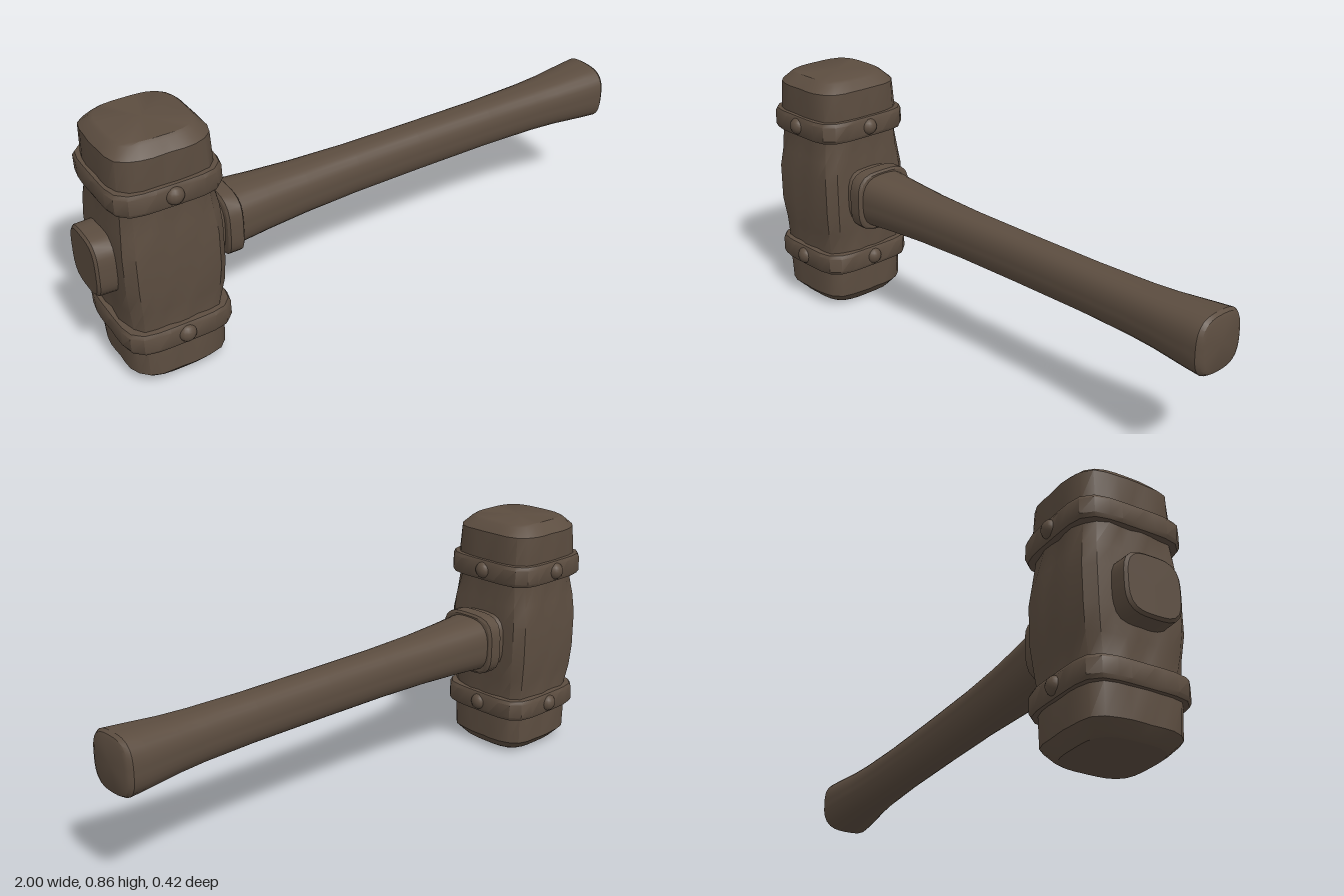
import * as THREE from 'three';
import { toCreasedNormals } from 'three/addons/utils/BufferGeometryUtils.js';

// Closed loft along y: each section is [y, halfX, halfZ, squareness, dent]
function loft(sections, sides = 32, crease = 0.55) {
  const pos = [], index = [];
  sections.forEach(([y, a, b, n, dent = 0], row) => {
    for (let i = 0; i < sides; i++) {
      const t = ((i + 0.5) / sides) * Math.PI * 2;
      const c = Math.cos(t), s = Math.sin(t);
      const r = Math.pow(Math.abs(c) ** n + Math.abs(s) ** n, -1 / n);
      const k = 1 - dent * (0.5 + 0.5 * Math.sin(i * 1.9 + row * 2.3));
      pos.push(a * r * c * k, y, b * r * s * k);
    }
  });
  for (let j = 0; j < sections.length - 1; j++) {
    for (let i = 0; i < sides; i++) {
      const p = j * sides + i, q = j * sides + (i + 1) % sides;
      index.push(p, p + sides, q, q, p + sides, q + sides);
    }
  }
  // end caps
  const last = sections.length - 1;
  const bottom = pos.length / 3, top = bottom + 1;
  pos.push(0, sections[0][0], 0, 0, sections[last][0], 0);
  for (let i = 0; i < sides; i++) {
    const k = (i + 1) % sides;
    index.push(bottom, i, k, top, last * sides + k, last * sides + i);
  }
  const g = new THREE.BufferGeometry();
  g.setAttribute('position', new THREE.Float32BufferAttribute(pos, 3));
  g.setIndex(index);
  return toCreasedNormals(g, crease);
}

export function createModel() {
  const model = new THREE.Group();
  const brown = new THREE.MeshStandardMaterial({ color: 0x5c4d40 });
  brown.name = 'dark brown';
  const headX = -0.766, axisY = 0.432;

  function add(name, geometry, x, y, z) {
    const mesh = new THREE.Mesh(geometry, brown);
    mesh.name = name;
    mesh.position.set(x, y, z);
    model.add(mesh);
    return mesh;
  }
  // Loft whose length runs along x at the handle's height
  const addAlongX = (name, sections) =>
    add(name, loft(sections).rotateZ(-Math.PI / 2), 0, axisY, 0);

  // Head: worn block, squarer in the middle, with bevelled striking faces
  add('head', loft([
    [0.0, 0.128, 0.132, 3.6],
    [0.008, 0.14, 0.142, 3.6],
    [0.04, 0.167, 0.174, 4, 0.02],
    [0.14, 0.169, 0.174, 4.5, 0.015],
    [0.215, 0.168, 0.172, 4.5, 0.05],
    [0.29, 0.17, 0.177, 6, 0.03],
    [0.37, 0.171, 0.179, 8],
    [0.5, 0.171, 0.179, 8],
    [0.57, 0.17, 0.177, 6, 0.03],
    [0.65, 0.168, 0.172, 4.5, 0.05],
    [0.725, 0.169, 0.174, 4.5, 0.015],
    [0.825, 0.167, 0.174, 4, 0.02],
    [0.855, 0.14, 0.142, 3.6],
    [0.862, 0.128, 0.132, 3.6],
  ]), headX, 0, 0);

  // Iron bands with domed rivets on three sides
  for (const y of [0.178, 0.688]) {
    add('band', loft([
      [-0.038, 0.166, 0.17, 5],
      [-0.037, 0.179, 0.185, 5],
      [-0.025, 0.186, 0.192, 5, 0.012],
      [0.025, 0.186, 0.192, 5, 0.012],
      [0.037, 0.179, 0.185, 5],
      [0.038, 0.166, 0.17, 5],
    ]), headX, y, 0);
    for (const [x, z] of [[headX, 0.186], [headX, -0.186], [-0.588, 0]]) {
      const rivet = add('rivet', new THREE.SphereGeometry(0.03, 14, 10), x, y, z);
      if (z) rivet.scale.z = 0.83;
      else rivet.scale.x = 0.83;
    }
  }

  // Handle end showing through the far side of the head
  addAlongX('handleButt', [
    [-1.0, 0.094, 0.09, 3.4],
    [-0.992, 0.102, 0.099, 3.4],
    [-0.92, 0.104, 0.101, 3.4],
  ]);

  // Neck and collar where the handle enters the head
  addAlongX('neck', [[-0.64, 0.105, 0.108, 3.5], [-0.595, 0.1, 0.1, 3.5], [-0.55, 0.082, 0.085, 3]]);
  addAlongX('collar', [
    [-0.567, 0.102, 0.108, 3.6],
    [-0.561, 0.11, 0.117, 3.6],
    [-0.516, 0.11, 0.117, 3.6],
    [-0.51, 0.102, 0.108, 3.6],
  ]);

  // Handle: slim in the middle, flared at both ends
  addAlongX('handle', [
    [-0.55, 0.098, 0.104, 2.9],
    [-0.5, 0.097, 0.101, 2.8],
    [-0.4, 0.092, 0.091, 2.7],
    [-0.25, 0.086, 0.08, 2.6],
    [-0.05, 0.083, 0.071, 2.5],
    [0.2, 0.082, 0.068, 2.5],
    [0.5, 0.081, 0.07, 2.5],
    [0.7, 0.083, 0.077, 2.6],
    [0.8, 0.086, 0.085, 2.7],
    [0.93, 0.095, 0.099, 2.9],
    [0.983, 0.099, 0.101, 3],
    [0.995, 0.092, 0.091, 3],
    [1.0, 0.08, 0.078, 3],
  ]);

  return model;
}
